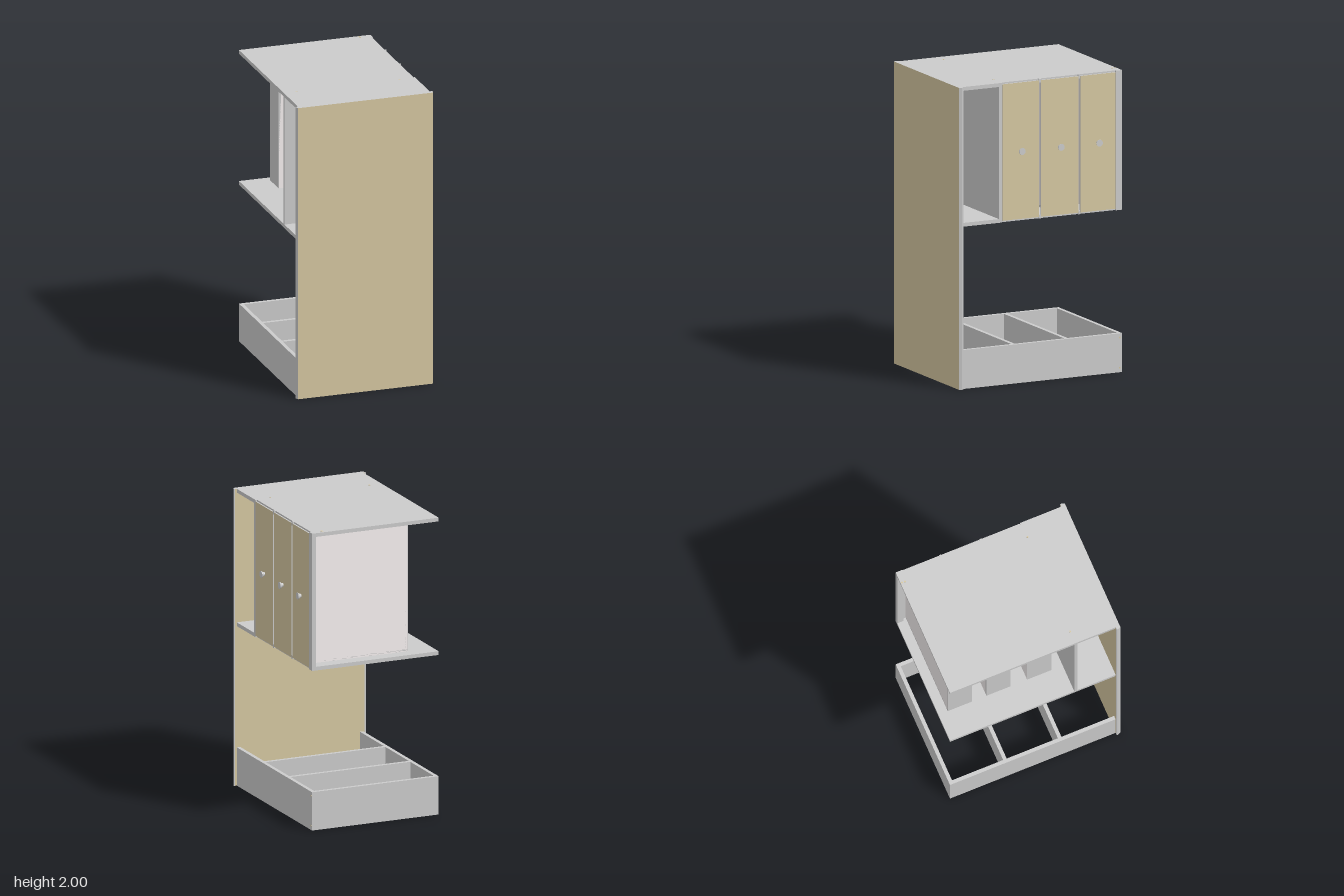
import * as THREE from 'three';

const grey = new THREE.MeshStandardMaterial({ color: 0xcccccc });
const tan = new THREE.MeshStandardMaterial({ color: 0xd5c7a1 });
const pale = new THREE.MeshStandardMaterial({ color: 0xf6f0f0 });

// Box given by its min and max on each axis
function box(name, x, y, z, material = grey) {
  const g = new THREE.BoxGeometry(x[1] - x[0], y[1] - y[0], z[1] - z[0]);
  const m = new THREE.Mesh(g, material);
  m.position.set((x[0] + x[1]) / 2, (y[0] + y[1]) / 2, (z[0] + z[1]) / 2);
  m.name = name;
  return m;
}

// Plan outline of [x, z] points raised from y0 to y1
function slab(name, points, y0, y1, material = grey) {
  const shape = new THREE.Shape(points.map(([x, z]) => new THREE.Vector2(x, -z)));
  const g = new THREE.ExtrudeGeometry(shape, { depth: y1 - y0, bevelEnabled: false });
  g.rotateX(-Math.PI / 2);
  const m = new THREE.Mesh(g, material);
  m.position.y = y0;
  m.name = name;
  return m;
}

const L = -0.457, R = 0.446, BACK = -0.597, FRONT = 0.568;
const T = 0.025;
const upper = [1.075, 2];

// Flared round knob pointing along +x
function knob(z) {
  const profile = [[0, 0], [0.013, 0], [0.014, 0.008], [0.023, 0.022], [0.023, 0.025], [0, 0.025]]
    .map(([r, h]) => new THREE.Vector2(r, h));
  const m = new THREE.Mesh(new THREE.LatheGeometry(profile, 24), grey);
  m.material = new THREE.MeshStandardMaterial({ color: 0xcccccc, flatShading: true });
  m.rotation.z = -Math.PI / 2;
  m.position.set(R, 1.537, z);
  m.name = 'knob';
  return m;
}

// Tall pull-out drawer: coloured front, pale sides, plain end boards
function drawer(z0, z1) {
  const g = new THREE.Group();
  g.name = 'drawer';
  const b0 = z0 + 0.018, b1 = b0 + 0.17, x0 = -0.265, x1 = 0.436;
  const y = [1.106, 1.966];
  const edged = [tan, grey, grey, grey, grey, grey];
  g.add(
    box('drawerFront', [0.436, R], [1.086, 1.99], [z0, z1], edged),
    box('drawerSide', [x0, x1], y, [b0, b0 + 0.015], pale),
    box('drawerSide', [x0, x1], y, [b1 - 0.015, b1], pale),
    box('drawerEnd', [x0 - 0.002, x0 + 0.015], y, [b0, b1]),
    box('drawerInnerFront', [x1 - 0.015, x1], y, [b0, b1]),
    box('drawerBottom', [x0, x1], [1.106, 1.121], [b0, b1]),
    knob((z0 + z1) / 2)
  );
  return g;
}

// Small fixing pin
function pin(x, y, z, sideways) {
  const m = new THREE.Mesh(new THREE.CylinderGeometry(0.006, 0.006, 0.006, 12), tan);
  if (sideways) m.rotation.z = Math.PI / 2;
  m.position.set(x, y, z);
  m.name = 'fixingPin';
  return m;
}

export function createModel() {
  const model = new THREE.Group();
  model.name = 'cabinet';

  // Full-height front panel with bevelled edge strips
  const z0 = FRONT, z1 = 0.597;
  model.add(slab('frontPanel', [[-0.466, z0], [-0.466, z1], [0.457, z1], [0.457, z0]], 0, 2, [grey, tan]));
  model.add(slab('leftEdgeStrip', [[0.457, z0], [0.457, z1], [0.465, z0 + 0.012], [0.465, z0]], 0, 2));
  model.add(slab('rightEdgeStrip', [[-0.466, z0], [-0.475, z0], [-0.475, z0 + 0.012], [-0.466, z1]], 0, 2));

  // Top and bottom boards, notched where the drawer fronts sit
  const fronts = [[-0.55, -0.293], [-0.278, -0.008], [0.008, 0.275]];
  const outline = [[L, BACK], [L, FRONT], [R, FRONT]];
  for (const [a, b] of [...fronts].reverse()) {
    outline.push([R, b + 0.001], [0.435, b + 0.001], [0.435, a - 0.001], [R, a - 0.001]);
  }
  outline.push([R, BACK]);
  model.add(slab('topBoard', outline, upper[1] - T, upper[1]));
  model.add(slab('bottomBoard', outline, upper[0], upper[0] + T));

  // Divider beside the open bay, and the rear post
  const inside = [upper[0] + T, upper[1] - T];
  model.add(box('divider', [L, R], inside, [0.277, 0.3]));
  model.add(box('rearPost', [0.42, R], inside, [BACK, -0.552]));

  for (const [a, b] of fronts) model.add(drawer(a, b));

  // Open base frame with two cross boards
  const h = [0, 0.258];
  model.add(box('baseSide', [R - T, R], h, [BACK, FRONT]));
  model.add(box('baseSide', [L, L + T], h, [BACK, FRONT]));
  model.add(box('baseBack', [L + T, R - T], h, [BACK, BACK + T]));
  for (const z of [-0.2, 0.185]) {
    model.add(box('baseCrossBoard', [L + T, R - T], h, [z - T / 2, z + T / 2]));
  }

  // Fixing pins on the top board and the base
  for (const [x, z] of [[0.365, -0.587], [0.365, -0.566], [-0.37, 0.285], [0.338, 0.285]]) {
    model.add(pin(x, 1.999, z, false));
  }
  for (const y of [0.03, 0.23]) model.add(pin(R - 0.001, y, -0.58, true));

  return model;
}
